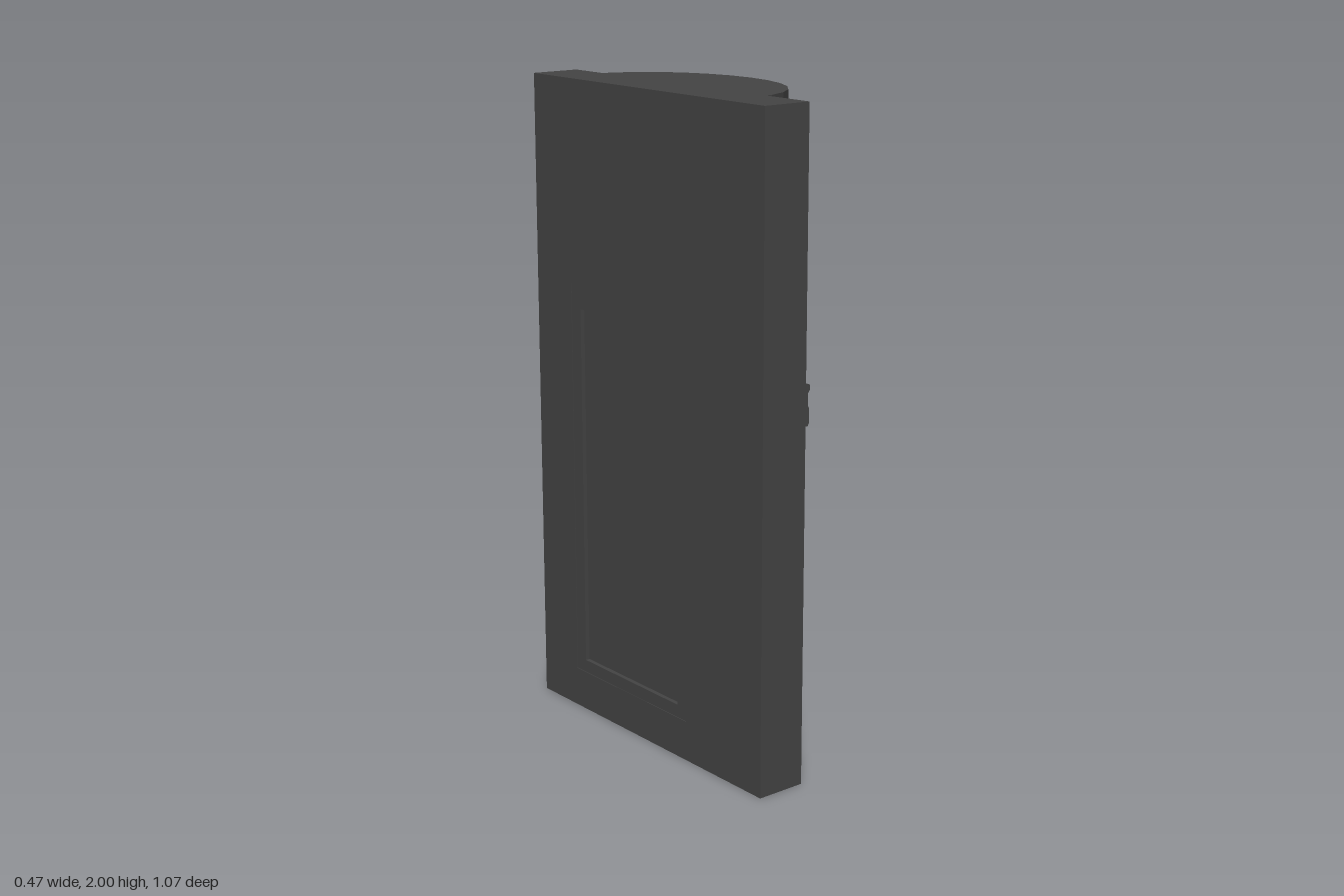
import * as THREE from 'three';

const material = new THREE.MeshStandardMaterial({ color: 0x444444, flatShading: true, side: THREE.DoubleSide });
const WALL_FRONT = -0.08, WALL_BACK = -0.238;
const MID = -0.083; // z of the window axis

export function createModel() {
  const model = new THREE.Group();
  model.name = 'wallWithWindow';

  const add = (name, geometry) => {
    const mesh = new THREE.Mesh(geometry, material);
    mesh.name = name;
    model.add(mesh);
    return mesh;
  };
  // Outline given as [z, y] points, extruded along x from x0 to x1
  const slab = (name, x0, x1, outline, hole) => {
    const toPoints = (list) => list.map(([z, y]) => new THREE.Vector2(-z, y));
    const shape = new THREE.Shape(toPoints(outline));
    if (hole) shape.holes.push(new THREE.Path(toPoints(hole)));
    const geometry = new THREE.ExtrudeGeometry(shape, { depth: x1 - x0, bevelEnabled: false });
    return add(name, geometry.rotateY(Math.PI / 2).translate(x0, 0, 0));
  };
  // Moulding section given as [x, y] points, run along z from z0 to z1
  const moulding = (name, z0, z1, section) => {
    const shape = new THREE.Shape(section.map(([x, y]) => new THREE.Vector2(x, y)));
    const geometry = new THREE.ExtrudeGeometry(shape, { depth: z1 - z0, bevelEnabled: false });
    return add(name, geometry.translate(0, 0, z0));
  };
  const rect = (z0, y0, z1, y1) => [[z0, y0], [z1, y0], [z1, y1], [z0, y1]];

  // Wall with the window opening
  const opening = rect(-0.362, 0.125, 0.193, 1.378);
  slab('wall', WALL_BACK, WALL_FRONT, rect(-0.537, 0, 0.537, 2), opening);

  // Stepped window frame, from the outer casing inwards
  const casing = rect(-0.318, 0.165, 0.15, 1.305);
  const bead = rect(-0.308, 0.175, 0.14, 1.288);
  const light = rect(-0.298, 0.188, 0.13, 1.272);
  slab('windowCasing', WALL_BACK + 0.002, -0.13, opening, casing);
  slab('windowBead', -0.222, -0.15, casing, bead);
  slab('windowSash', -0.222, -0.165, bead, light);
  slab('upperPane', -0.222, -0.18, rect(-0.298, 0.73, 0.13, 1.272));
  slab('lowerPane', -0.222, -0.192, rect(-0.298, 0.188, 0.13, 0.73));
  slab('meetingRail', -0.2, -0.166, rect(-0.298, 0.71, 0.13, 0.742));

  // Sill
  moulding('sill', -0.388, 0.22, [[-0.14, 0.002], [-0.05, 0.002], [-0.05, 0.118], [-0.056, 0.125], [-0.14, 0.135]]);

  // Band course on both sides of the window
  const bandSection = [[-0.09, 1.09], [-0.072, 1.09], [-0.067, 1.1], [-0.067, 1.14], [-0.072, 1.15],
    [-0.072, 1.185], [-0.065, 1.195], [-0.065, 1.21], [-0.09, 1.217]];
  moulding('bandCourseLeft', 0.193, 0.537, bandSection);
  moulding('bandCourseRight', -0.537, -0.362, bandSection);

  // Window hood: shouldered panel, side ears and cornice
  const half = [[0.37, 1.345], [0.37, 1.5], [0.345, 1.515], [0.322, 1.545], [0.317, 1.575]];
  slab('hoodPanel', -0.09, -0.051, [
    [MID + 0.277, 1.378], [MID + 0.277, 1.345],
    ...half.map(([d, y]) => [MID + d, y]),
    ...half.slice().reverse().map(([d, y]) => [MID - d, y]),
    [MID - 0.277, 1.345], [MID - 0.277, 1.378],
  ]);
  for (const [side, z0] of [['Left', MID + 0.276], ['Right', MID - 0.37]]) {
    moulding('hoodEar' + side, z0, z0 + 0.094,
      [[-0.09, 1.35], [-0.053, 1.35], [-0.058, 1.26], [-0.066, 1.24], [-0.078, 1.225], [-0.09, 1.225]]);
  }
  moulding('hoodCornice', MID - 0.325, MID + 0.325, [[-0.09, 1.56], [-0.045, 1.56], [-0.04, 1.575], [-0.03, 1.585],
    [-0.022, 1.605], [-0.008, 1.625], [-0.008, 1.632], [-0.05, 1.645], [-0.056, 1.658], [-0.09, 1.66]]);

  // Half-round parts: profile of [radius factor, y], stretched to an ellipse against the wall
  const halfRound = (name, profile, segments, rule) => {
    const points = profile.map(([r, y]) => new THREE.Vector2(r, y));
    const geometry = new THREE.LatheGeometry(points, segments, 0, Math.PI);
    const p = geometry.attributes.position;
    for (let i = 0; i < p.count; i++) {
      const x = p.getX(i), z = p.getZ(i);
      const k = rule ? rule(Math.atan2(x, z), p.getY(i)) : 1;
      p.setXYZ(i, x * k * 0.315, p.getY(i), z * k * 0.39);
    }
    geometry.computeVertexNormals();
    return add(name, geometry.translate(WALL_FRONT, 0, MID + 0.005));
  };
  halfRound('basinRim', [[0, 1.917], [0.97, 1.917], [1, 1.925], [1, 1.992], [0, 1.992]], 14);

  // Gadrooned bowl: rounded ribs parted by narrow grooves
  const ribs = 22;
  const bowlProfile = [[0.1, 1.678], [0.3, 1.69], [0.5, 1.713], [0.67, 1.74], [0.79, 1.775], [0.86, 1.82], [0.9, 1.87], [0.91, 1.92]];
  halfRound('basinBowl', bowlProfile, ribs * 6, (angle) => 0.95 + 0.06 * Math.abs(Math.sin(angle * ribs)));
  halfRound('basinPendant', [[0, 1.655], [0.12, 1.657], [0.15, 1.668], [0.13, 1.682], [0, 1.7]], 12);

  return model;
}
